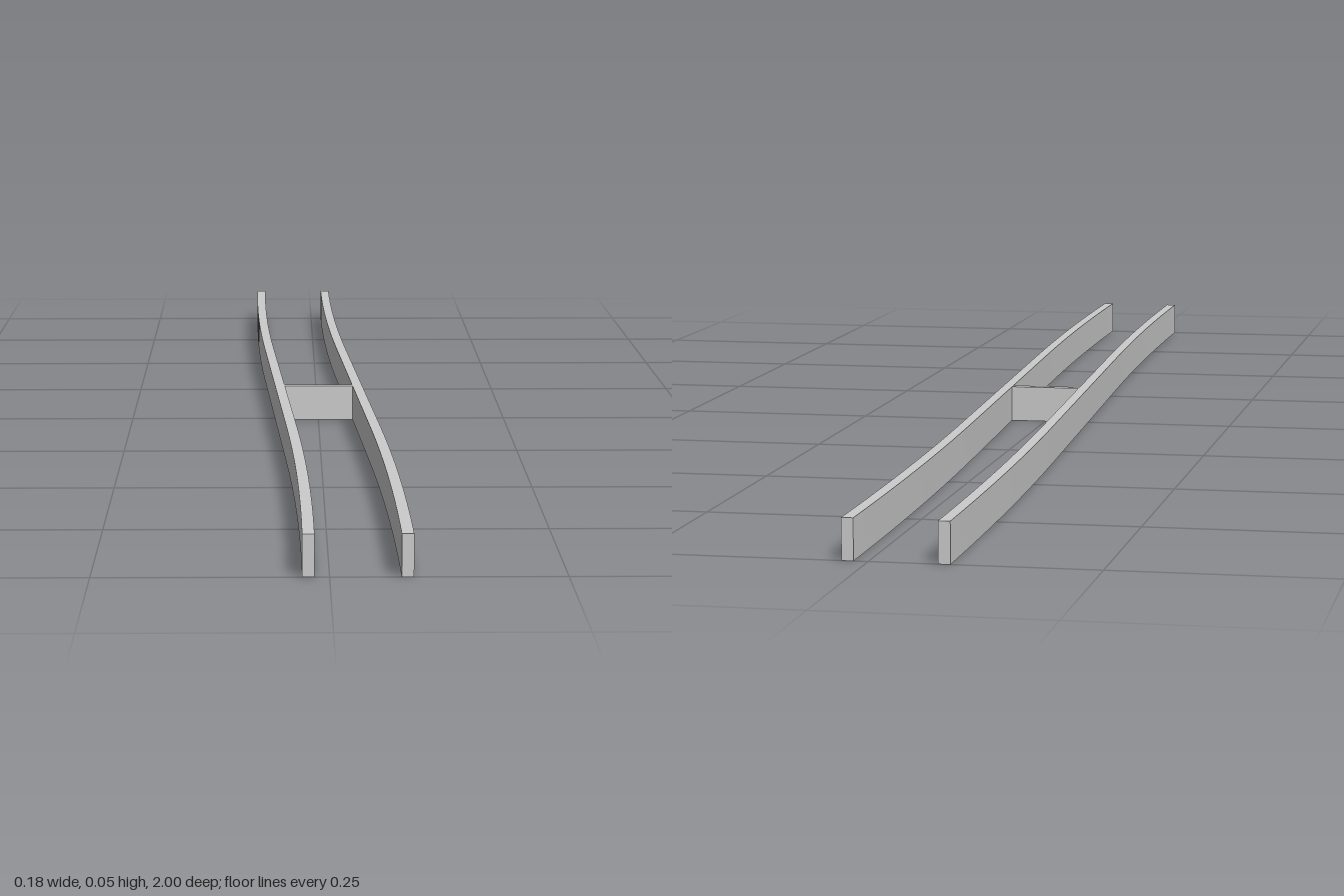
import * as THREE from 'three';
import { toCreasedNormals } from 'three/addons/utils/BufferGeometryUtils.js';

const HEIGHT = 0.046, THICK = 0.013, SPACING = 0.104;
const STRAIGHT = 1 / 3, SLOPE = 0.0446, STEPS = 16;

// Sideways shift along the S: straight slanted middle, ends bending parallel to z
function shift(z) {
  const a = Math.abs(z), t = Math.max(0, a - STRAIGHT);
  const d = SLOPE * (Math.min(a, STRAIGHT) + t - t * t / (2 * (1 - STRAIGHT)));
  return Math.sign(z) * d;
}

// One section of rail between two z positions
function railSection(z0, z1, steps, material) {
  const near = [], far = [];
  for (let i = 0; i <= steps; i++) {
    const z = z0 + (z1 - z0) * i / steps, x = shift(z);
    near.push(new THREE.Vector2(x - THICK / 2, -z));
    far.unshift(new THREE.Vector2(x + THICK / 2, -z));
  }
  const geo = new THREE.ExtrudeGeometry(new THREE.Shape([...near, ...far]),
    { depth: HEIGHT, bevelEnabled: false });
  geo.rotateX(-Math.PI / 2);
  return new THREE.Mesh(toCreasedNormals(geo, 0.5), material);
}

export function createModel() {
  const model = new THREE.Group();
  const material = new THREE.MeshStandardMaterial({ color: 0xcccccc });

  // Pair of parallel rails, each a straight middle with two curved ends
  for (const side of [-1, 1]) {
    const rail = new THREE.Group();
    rail.name = side > 0 ? 'leftRail' : 'rightRail';
    const sections = [
      ['rearCurve', -1, -STRAIGHT, STEPS],
      ['straightMiddle', -STRAIGHT, STRAIGHT, 1],
      ['frontCurve', STRAIGHT, 1, STEPS],
    ];
    for (const [name, z0, z1, steps] of sections) {
      const mesh = railSection(z0, z1, steps, material);
      mesh.name = name;
      rail.add(mesh);
    }
    rail.position.x = side * SPACING / 2;
    model.add(rail);
  }

  // Crossbar joining the rails, in two halves
  const half = (SPACING - THICK) / 2 + 0.002;
  for (const side of [-1, 1]) {
    const bar = new THREE.Mesh(new THREE.BoxGeometry(half, HEIGHT, THICK), material);
    bar.name = side > 0 ? 'leftCrossbar' : 'rightCrossbar';
    bar.position.set(side * half / 2, HEIGHT / 2, 0.005);
    model.add(bar);
  }
  return model;
}
